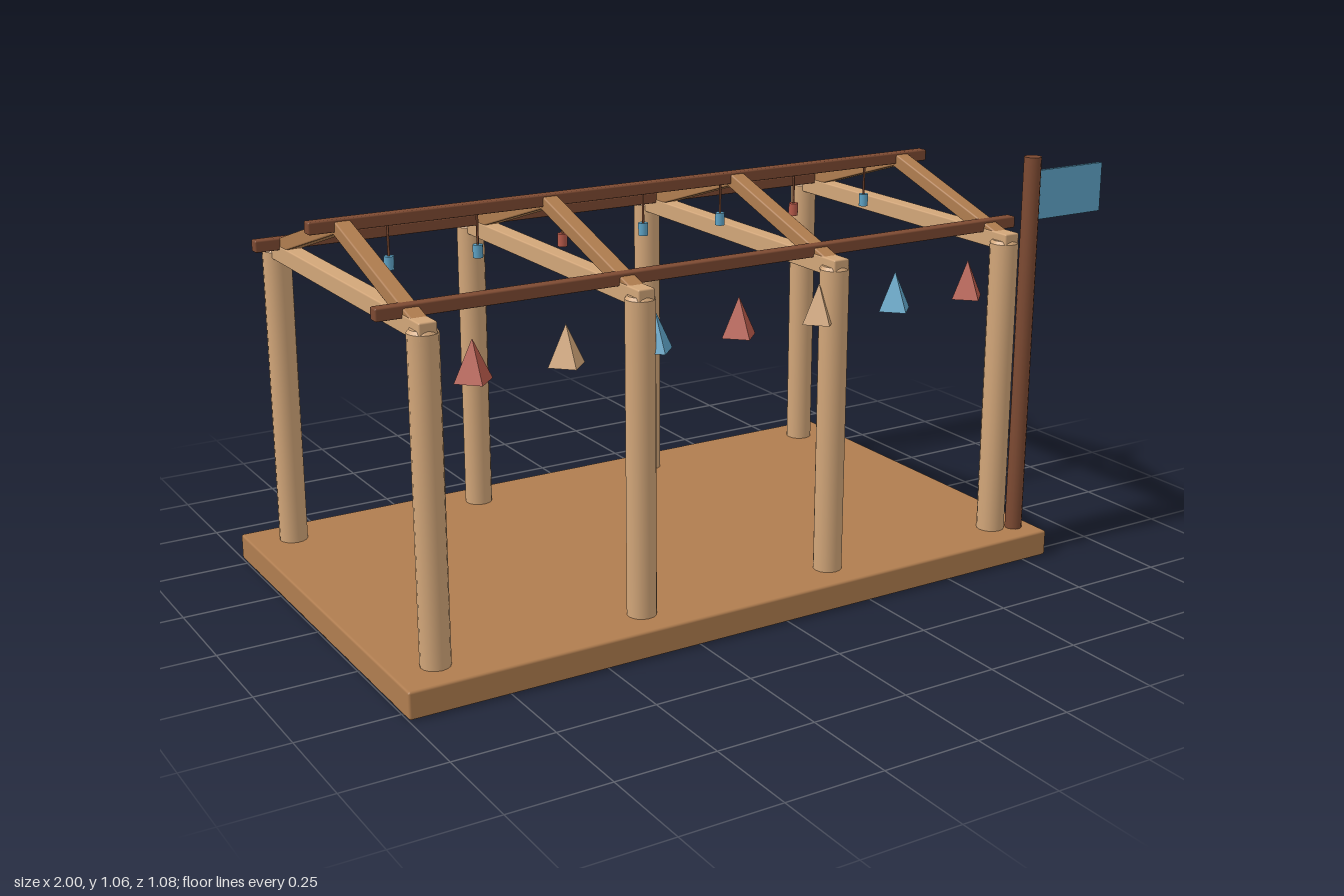
import * as THREE from 'three';
import { RoundedBoxGeometry } from 'three/addons/geometries/RoundedBoxGeometry.js';

const mat = (name, color, extra = {}) => {
  const m = new THREE.MeshStandardMaterial({ color, ...extra });
  m.name = name;
  return m;
};

export function createModel() {
  const model = new THREE.Group();
  model.name = 'pavilionFrame';

  const wood = mat('mid wood', 0xb07d4f);
  const paleWood = mat('pale wood', 0xd2a679);
  const darkWood = mat('dark wood', 0x7d4a32);
  const blue = mat('blue', 0x5fa5c8);
  const red = mat('red', 0xb85a4a);

  const add = (name, geometry, material, x, y, z) => {
    const mesh = new THREE.Mesh(geometry, material);
    mesh.name = name;
    mesh.position.set(x, y, z);
    model.add(mesh);
    return mesh;
  };
  // Timber with a slightly eased edge
  const timber = (w, h, d, r = 0.004) => new RoundedBoxGeometry(w, h, d, 1, r);

  // Base deck
  add('deck', timber(1.822, 0.068, 1.08, 0.006), wood, -0.088, 0.034, 0);

  // Four frames: posts, tie beam and a pair of rafters
  const postTop = 0.848, postR = 0.036;
  const post = new THREE.CylinderGeometry(postR, postR, postTop - 0.066, 16, 1, true);
  const postCap = new THREE.CylinderGeometry(postR - 0.006, postR, 0.008, 16);
  const tie = timber(0.044, 0.044, 0.944);
  const slope = Math.atan(0.318);
  const rafter = timber(0.04, 0.035, 0.445 / Math.cos(slope));
  for (const x of [-0.89, -0.356, 0.184, 0.714]) {
    for (const side of [-1, 1]) {
      add('post', post, paleWood, x, (postTop + 0.05) / 2, side * 0.442);
      add('postCap', postCap, paleWood, x, postTop - 0.004, side * 0.442);
      const r = add('rafter', rafter, wood, x, 0.985 - 0.2225 * 0.318, side * 0.2225);
      r.rotation.x = side * slope;
    }
    add('tieBeam', tie, paleWood, x, 0.846, 0);
  }

  // Ridge beam and side purlins
  const purlin = timber(1.77, 0.03, 0.03);
  add('ridgeBeam', purlin, darkWood, -0.088, 0.989, 0);
  for (const side of [-1, 1]) add('purlin', purlin, darkWood, -0.088, 0.873, side * 0.371);

  // Pennants along the front, small lanterns under the ridge
  const pennant = new THREE.ConeGeometry(0.047, 0.096, 4).toNonIndexed();
  pennant.computeVertexNormals();
  const cord = new THREE.CylinderGeometry(0.003, 0.003, 0.08, 6);
  const lantern = new THREE.CylinderGeometry(0.0125, 0.0125, 0.032, 10);
  const pennantColors = [red, paleWood, blue];
  const lanternColors = [blue, blue, red];
  for (let i = 0; i < 7; i++) {
    const x = -0.775 + i * 0.229;
    add('pennant', pennant, pennantColors[i % 3], x, 0.76, 0.44);
    add('lanternCord', cord, darkWood, x, 0.938, 0);
    add('lantern', lantern, lanternColors[i % 3], x, 0.884, 0);
  }

  // Flagpole and flag
  add('flagpole', new THREE.CylinderGeometry(0.022, 0.022, 1.0, 14), darkWood, 0.768, 0.56, 0.472);
  add('flag', new THREE.BoxGeometry(0.214, 0.126, 0.009), blue, 0.893, 0.96, 0.472);

  return model;
}
